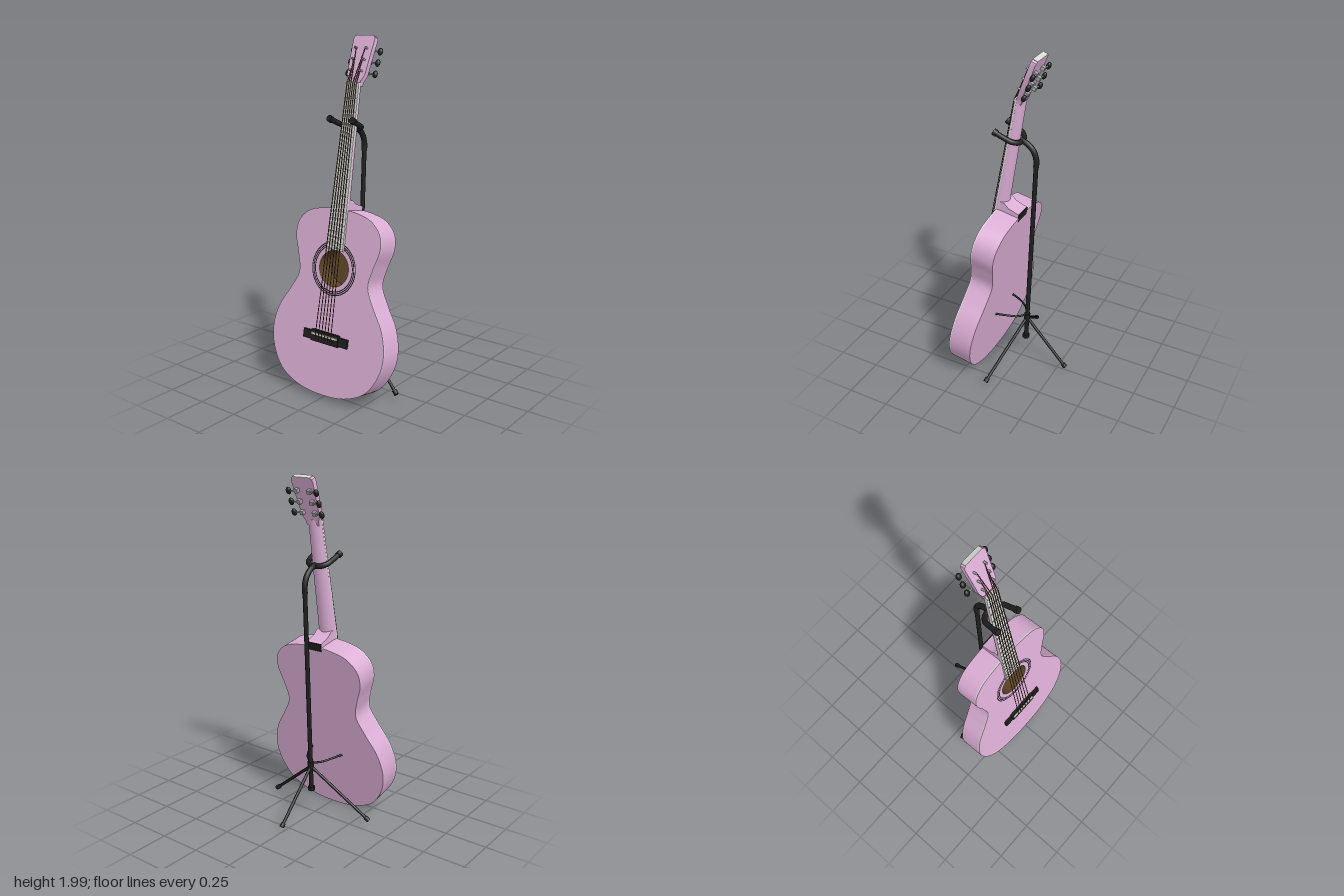
import * as THREE from 'three';
import { toCreasedNormals } from 'three/addons/utils/BufferGeometryUtils.js';

const mat = (name, color) => {
  const m = new THREE.MeshStandardMaterial({ color });
  m.name = name;
  return m;
};
const V = (x, y, z) => new THREE.Vector3(x, y, z);

export function createModel() {
  const pink = mat('pink lacquer', 0xdcaed6);
  const black = mat('black', 0x1e1e1e);
  const ivory = mat('light grey trim', 0xd9dad6);
  const metal = mat('metal', 0xa3a8a8);
  const brown = mat('brown interior', 0x5e4526);
  const bronze = mat('bronze strings', 0x5a3f28);
  brown.side = THREE.DoubleSide;

  const add = (parent, name, geo, material, x = 0, y = 0, z = 0) => {
    const m = new THREE.Mesh(geo, material);
    m.name = name;
    m.position.set(x, y, z);
    parent.add(m);
    return m;
  };
  // straight rod between two points
  const rod = (parent, name, a, b, r, material, sides = 12) => {
    const m = add(parent, name, new THREE.CylinderGeometry(r, r, a.distanceTo(b), sides), material);
    m.position.copy(a).add(b).multiplyScalar(0.5);
    m.quaternion.setFromUnitVectors(V(0, 1, 0), b.clone().sub(a).normalize());
    return m;
  };
  const tube = (parent, name, pts, r, material) =>
    add(parent, name, new THREE.TubeGeometry(new THREE.CatmullRomCurve3(pts), 32, r, 12), material);
  const extrude = (shape, depth) =>
    toCreasedNormals(new THREE.ExtrudeGeometry(shape, { depth, bevelEnabled: false, curveSegments: 32 }), 0.5);
  // symmetric polygon from its right half, listed bottom to top
  const mirrored = half => new THREE.Shape([
    ...half.map(([x, y]) => new THREE.Vector2(x, y)),
    ...half.slice().reverse().map(([x, y]) => new THREE.Vector2(-x, y))]);

  const model = new THREE.Group();
  model.name = 'guitarOnStand';

  // Guitar: local x = width, y = length, z = out of the soundboard
  const guitar = new THREE.Group();
  guitar.name = 'guitar';
  const s = Math.sin(0.1815), c = Math.cos(0.1815);
  guitar.quaternion.setFromRotationMatrix(
    new THREE.Matrix4().makeBasis(V(0, 0, 1), V(s, c, 0), V(-c, s, 0)));
  guitar.position.set(-0.32, 0.028, 0);
  model.add(guitar);

  // Body: solid back, upper part pierced by the sound hole, trim at the front edge
  const half = [[0.17, 0.02], [0.30, 0.085], [0.375, 0.2], [0.395, 0.31], [0.365, 0.44], [0.292, 0.56],
    [0.243, 0.66], [0.262, 0.76], [0.295, 0.87], [0.283, 0.95], [0.22, 1.015], [0.12, 1.045]];
  const loop = [[0, 0], ...half, [0, 1.054], ...half.slice().reverse().map(([x, y]) => [-x, y])];
  const outline = new THREE.CatmullRomCurve3(loop.map(([x, y]) => V(x, y, 0)), true).getPoints(160).slice(0, -1);
  const bodyShape = hole => {
    const sh = new THREE.Shape(outline.map(p => new THREE.Vector2(p.x, p.y)));
    if (hole) sh.holes.push(new THREE.Path().absarc(0, 0.72, 0.102, 0, Math.PI * 2, true));
    return sh;
  };
  add(guitar, 'bodyBack', extrude(bodyShape(false), 0.03), pink, 0, 0, -0.142);
  add(guitar, 'bodySides', extrude(bodyShape(true), 0.104), pink, 0, 0, -0.112);
  add(guitar, 'soundboardWithBinding', extrude(bodyShape(true), 0.008), [pink, ivory], 0, 0, -0.008);
  add(guitar, 'soundHoleFloor', new THREE.CircleGeometry(0.102, 48), brown, 0, 0.72, -0.11);
  const wall = add(guitar, 'soundHoleWall',
    new THREE.CylinderGeometry(0.101, 0.101, 0.11, 48, 1, true), brown, 0, 0.72, -0.0555);
  wall.rotation.x = Math.PI / 2;
  for (const r of [0.127, 0.137, 0.147])
    add(guitar, 'rosetteRing', new THREE.RingGeometry(r, r + 0.006, 64), black, 0, 0.72, 0.001);

  // Bridge and saddle
  add(guitar, 'bridge', new THREE.BoxGeometry(0.31, 0.05, 0.014), black, 0, 0.325, 0.007);
  add(guitar, 'bridgeCentre', new THREE.BoxGeometry(0.19, 0.065, 0.018), black, 0, 0.327, 0.009);
  add(guitar, 'saddle', new THREE.BoxGeometry(0.18, 0.012, 0.012), ivory, 0, 0.338, 0.022);

  // Neck, heel and fretboard
  const neckGeo = new THREE.CylinderGeometry(0.041, 0.055, 0.72, 24, 1, false, Math.PI / 2, Math.PI);
  neckGeo.scale(1, 1, 0.9);
  add(guitar, 'neck', neckGeo, pink, 0, 1.4, 0.002);
  const heelShape = new THREE.Shape([[0, 1.03], [0, 1.11], [0.04, 1.108], [0.07, 1.088], [0.136, 1.076], [0.136, 1.03]]
    .map(([x, y]) => new THREE.Vector2(x, y)));
  const heel = add(guitar, 'heel', extrude(heelShape, 0.1), pink, -0.05, 0, 0);
  heel.rotation.y = Math.PI / 2;
  add(guitar, 'heelCap', new THREE.BoxGeometry(0.1, 0.046, 0.008), black, 0, 1.053, -0.14);
  add(guitar, 'fretboard', extrude(mirrored([[0.058, 0.825], [0.042, 1.74]]), 0.012), ivory);
  for (let n = 1; n <= 18; n++) {
    const y = 1.74 - 1.4 * (1 - Math.pow(2, -n / 12));
    const w = 0.084 + (1.74 - y) * 0.035;
    add(guitar, 'fret', new THREE.BoxGeometry(w, 0.005, 0.004), metal, 0, y, 0.013);
  }
  add(guitar, 'nut', new THREE.BoxGeometry(0.084, 0.012, 0.022), ivory, 0, 1.742, 0.007);

  // Headstock, tilted back from the neck
  const head = new THREE.Group();
  head.name = 'headstock';
  head.position.set(0, 1.742, 0.002);
  head.rotation.x = -0.2;
  guitar.add(head);
  const headShape = mirrored([[0.041, -0.01], [0.043, 0.015], [0.06, 0.05], [0.072, 0.25], [0.069, 0.263], [0.058, 0.271]]);
  add(head, 'headstockPlate', extrude(headShape, 0.03), pink, 0, 0, -0.03);
  add(head, 'headstockTopEdge', new THREE.BoxGeometry(0.118, 0.004, 0.03), ivory, 0, 0.271, -0.015);

  // Tuners: front post, rear gear, shaft and knob
  const posts = [];
  for (const side of [-1, 1]) for (const y of [0.07, 0.134, 0.198]) {
    const px = side * 0.036;
    posts.push([px, y]);
    rod(head, 'tunerPost', V(px, y, -0.01), V(px, y, 0.02), 0.006, metal);
    add(head, 'tunerGear', new THREE.BoxGeometry(0.022, 0.022, 0.022), metal, side * 0.042, y, -0.04);
    rod(head, 'tunerShaft', V(side * 0.04, y, -0.045), V(side * 0.088, y, -0.045), 0.004, metal);
    const knob = add(head, 'tunerKnob', new THREE.SphereGeometry(1, 16, 12), black, side * 0.092, y, -0.047);
    knob.scale.set(0.015, 0.021, 0.013);
  }

  // Strings: outer strings go to the nearest posts
  head.updateMatrix();
  const order = [0, 1, 2, 5, 4, 3];
  for (let i = 0; i < 6; i++) {
    const k = i - 2.5;
    const nut = V(k * 0.0125, 1.742, 0.02);
    const [px, py] = posts[order[i]];
    rod(guitar, 'string', V(k * 0.022, 0.338, 0.03), nut, 0.0024, bronze, 6);
    rod(guitar, 'stringEnd', nut, V(px * 0.85, py, 0.012).applyMatrix4(head.matrix), 0.0024, bronze, 6);
    rod(guitar, 'stringAnchor', V(k * 0.022, 0.338, 0.03), V(k * 0.022, 0.31, 0.016), 0.0024, bronze, 6);
  }

  // Stand: pole, curved top and padded yoke
  const stand = new THREE.Group();
  stand.name = 'stand';
  model.add(stand);
  rod(stand, 'pole', V(0.034, 0.17, 0), V(0.09, 1.37, 0), 0.013, black);
  rod(stand, 'poleFoot', V(0.033, 0.16, 0), V(0.034, 0.182, 0), 0.021, black);
  tube(stand, 'poleBend', [V(0.09, 1.36, 0), V(0.091, 1.4, 0), V(0.075, 1.45, 0), V(0.04, 1.485, 0), V(-0.005, 1.502, 0)], 0.016, black);
  for (const side of [-1, 1]) {
    tube(stand, 'yokeArm', [V(0.005, 1.497, 0), V(0, 1.5, side * 0.035), V(-0.025, 1.512, side * 0.064),
      V(-0.07, 1.532, side * 0.073), V(-0.115, 1.553, side * 0.078)], 0.015, black);
    rod(stand, 'yokeEnd', V(-0.105, 1.548, side * 0.077), V(-0.125, 1.559, side * 0.079), 0.019, black);
    // thin rest arms behind the body
    tube(stand, 'restArm', [V(0.04, 0.335, 0), V(0, 0.345, side * 0.055), V(-0.05, 0.355, side * 0.085), V(-0.118, 0.36, side * 0.11)], 0.006, black);
  }

  // Tripod legs with rubber feet
  const hub = V(0.04, 0.315, 0);
  rod(stand, 'hub', V(0.039, 0.285, 0), V(0.042, 0.345, 0), 0.018, black);
  for (const end of [V(0.305, 0.03, 0.006), V(-0.062, 0.03, 0.345), V(-0.062, 0.03, -0.345)]) {
    rod(stand, 'leg', hub, end, 0.009, black);
    rod(stand, 'legFoot', hub.clone().lerp(end, 0.94), end, 0.014, black);
  }
  return model;
}
